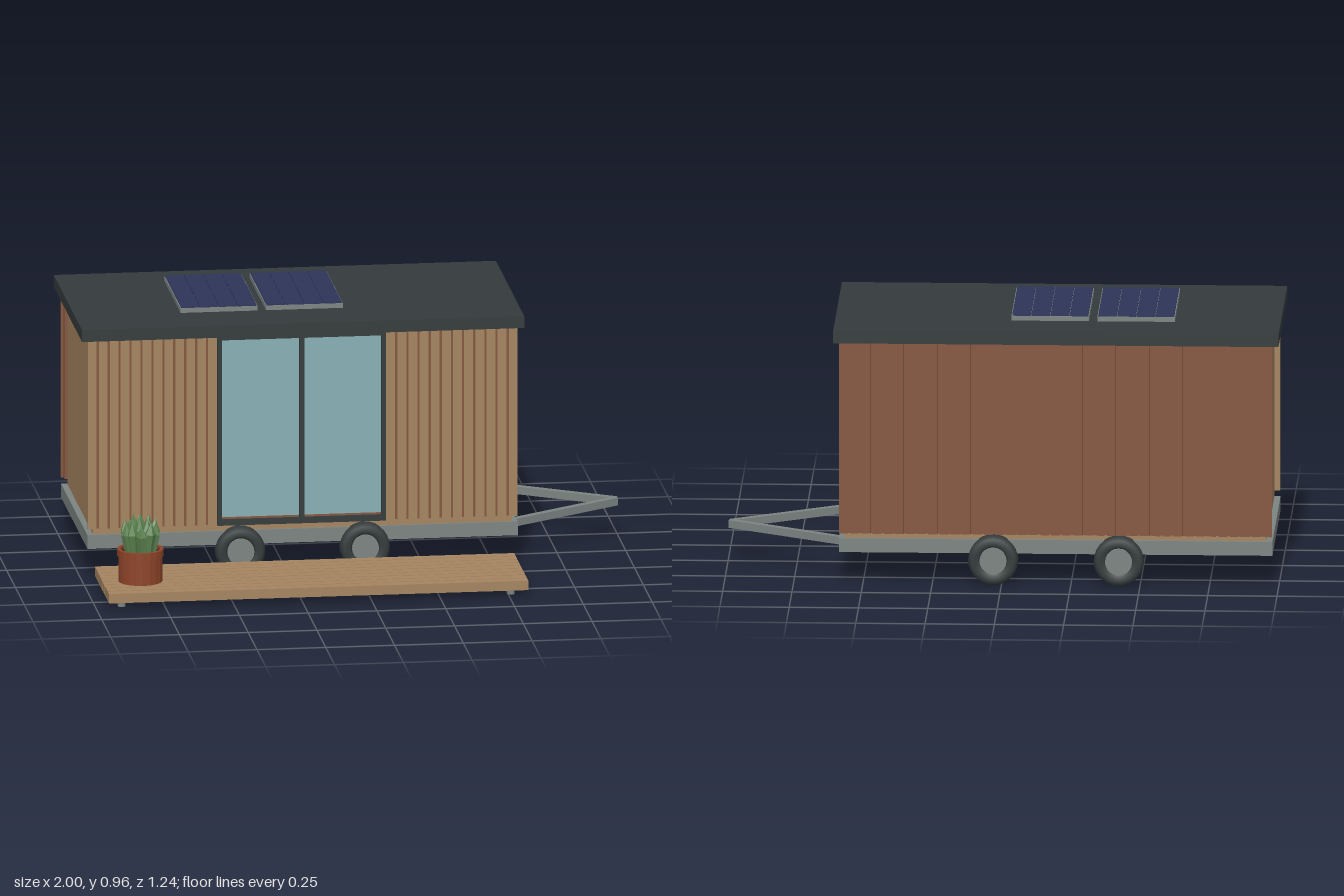
import * as THREE from 'three';

const material = (name, color) => {
  const m = new THREE.MeshStandardMaterial({ color });
  m.name = name;
  return m;
};

export function createModel() {
  const model = new THREE.Group();
  model.name = 'tinyHouseOnTrailer';
  const tan = material('tanWood', 0xa68460);
  const rust = material('redBrownWood', 0x85573f);
  const dark = material('darkSlate', 0x343b3c);
  const steel = material('greySteel', 0x7c8482);
  const glass = material('paleGlass', 0x88b0b4);
  const navy = material('navyCell', 0x2d3458);
  const clay = material('clayPot', 0x8e442a);
  const soil = material('soil', 0x3a2a20);
  const leafGreen = material('leafGreen', 0x5c8350);
  leafGreen.flatShading = true;

  const group = (name, parent = model) => {
    const g = new THREE.Group();
    g.name = name;
    parent.add(g);
    return g;
  };
  const add = (name, geometry, mat, parent = model) => {
    const mesh = new THREE.Mesh(geometry, mat);
    mesh.name = name;
    parent.add(mesh);
    return mesh;
  };
  // Box given by its limits on each axis
  const box = (name, mat, [x0, x1], [y0, y1], [z0, z1], parent) => {
    const mesh = add(name, new THREE.BoxGeometry(x1 - x0, y1 - y0, z1 - z0), mat, parent);
    mesh.position.set((x0 + x1) / 2, (y0 + y1) / 2, (z0 + z1) / 2);
    return mesh;
  };

  // Cabin shell and roof
  const cabin = group('cabin');
  box('walls', tan, [-0.955, 0.567], [0.163, 0.892], [-0.572, 0.153], cabin);
  box('roof', dark, [-1, 0.607], [0.89, 0.934], [-0.615, 0.19], cabin);
  box('frontBacking', rust, [-0.955, 0.567], [0.185, 0.89], [0.15, 0.157], cabin);
  box('backBacking', rust, [-0.967, 0.577], [0.185, 0.89], [-0.595, -0.57], cabin);

  // Vertical cladding boards
  const cladding = (name, mat, x0, x1, count, z) => {
    const g = group(name, cabin);
    const pitch = (x1 - x0 + 0.008) / count;
    for (let i = 0; i < count; i++) {
      const x = x0 + i * pitch;
      box('board', mat, [x, x + pitch - 0.008], [0.185, 0.89], z, g);
    }
  };
  cladding('frontBoardsRight', tan, -0.976, -0.507, 12, [0.153, 0.168]);
  cladding('frontBoardsLeft', tan, 0.108, 0.586, 12, [0.153, 0.168]);
  cladding('backBoards', rust, -0.976, 0.586, 39, [-0.606, -0.59]);

  // Double sliding door
  const door = group('slidingDoor', cabin);
  for (const x of [-0.505, 0.09]) box('doorPost', dark, [x, x + 0.016], [0.185, 0.89], [0.15, 0.173], door);
  box('doorMiddlePost', dark, [-0.208, -0.19], [0.185, 0.89], [0.15, 0.173], door);
  box('doorHead', dark, [-0.505, 0.106], [0.875, 0.89], [0.15, 0.173], door);
  box('doorSill', dark, [-0.505, 0.106], [0.185, 0.207], [0.15, 0.173], door);
  box('doorThreshold', rust, [-0.49, 0.09], [0.207, 0.214], [0.15, 0.163], door);
  for (const x of [-0.489, -0.19]) box('doorGlass', glass, [x, x + 0.281], [0.212, 0.876], [0.153, 0.161], door);

  // Solar panels: frame with a grid of cells
  for (const x of [-0.62, -0.31]) {
    const panel = group('solarPanel');
    box('panelFrame', steel, [x, x + 0.28], [0.942, 0.959], [-0.448, 0.018], panel);
    const px = 0.276 / 4, pz = 0.462 / 6;
    for (let i = 0; i < 4; i++) for (let j = 0; j < 6; j++) {
      const cx = x + 0.002 + i * px, cz = -0.446 + j * pz;
      box('solarCell', navy, [cx + 0.001, cx + px - 0.001], [0.958, 0.963], [cz + 0.001, cz + pz - 0.001], panel);
    }
  }

  // Trailer chassis and A-shaped tow bar
  const trailer = group('trailer');
  box('chassis', steel, [-0.977, 0.587], [0.112, 0.163], [-0.587, 0.163], trailer);
  for (const z of [-0.485, 0.058]) {
    const dx = 0.432, dz = -0.215 - z;
    const bar = add('towBar', new THREE.BoxGeometry(Math.hypot(dx, dz), 0.028, 0.026), steel, trailer);
    bar.position.set(0.56 + dx / 2, 0.13, z + dz / 2);
    bar.rotation.y = -Math.atan2(dz, dx);
  }

  // Wheels
  const tyreProfile = [[0.048, -0.02], [0.056, -0.027], [0.078, -0.027], [0.09, -0.019],
    [0.09, 0.019], [0.078, 0.027], [0.056, 0.027], [0.048, 0.02], [0.048, -0.02]]
    .map(([r, y]) => new THREE.Vector2(r, y));
  const tyre = new THREE.LatheGeometry(tyreProfile, 28);
  const hub = new THREE.CylinderGeometry(0.049, 0.049, 0.06, 20);
  for (const x of [-0.423, 0.03]) for (const z of [0.163, -0.588]) {
    const wheel = group('wheel', trailer);
    add('tyre', tyre, dark, wheel);
    add('hub', hub, steel, wheel);
    wheel.rotation.x = Math.PI / 2;
    wheel.position.set(x, 0.09, z);
  }

  // Plank deck on small feet
  const deck = group('deck');
  for (let i = 0; i < 9; i++) {
    const z = 0.216 + i * 0.0453;
    box('deckPlank', tan, [-0.957, 0.567], [0.025, 0.06], [z, z + 0.04], deck);
  }
  for (const x of [-0.905, 0.51]) for (const z of [0.257, 0.567]) {
    add('deckFoot', new THREE.CylinderGeometry(0.014, 0.014, 0.03, 10), steel, deck).position.set(x, 0.015, z);
  }

  // Potted succulent
  const plant = group('pottedPlant');
  plant.position.set(-0.82, 0.06, 0.438);
  const potProfile = [[0, 0], [0.08, 0], [0.08, 0.094], [0.084, 0.094], [0.084, 0.12], [0.072, 0.12], [0.072, 0.1]]
    .map(([r, y]) => new THREE.Vector2(r, y));
  const potGeometry = new THREE.LatheGeometry(potProfile, 20).toNonIndexed();
  potGeometry.computeVertexNormals();
  add('pot', potGeometry, clay, plant);
  add('soilTop', new THREE.CylinderGeometry(0.073, 0.073, 0.01, 20), soil, plant).position.y = 0.104;
  const leaf = new THREE.LatheGeometry([[0, 0], [0.012, 0], [0.021, 0.085], [0, 0.135]]
    .map(([r, y]) => new THREE.Vector2(r, y)), 5);
  for (const [count, radius, height, lean] of [[10, 0.046, 0.88, 0.1], [6, 0.025, 1, 0.05], [1, 0, 1.04, 0]]) {
    for (let i = 0; i < count; i++) {
      const pivot = group('leafPivot', plant);
      pivot.rotation.y = (i + radius * 10) / count * Math.PI * 2;
      const blade = add('leaf', leaf, leafGreen, pivot);
      blade.position.set(radius, 0.105, 0);
      blade.rotation.z = -lean;
      blade.scale.y = height * (i % 2 ? 0.95 : 1.04);
    }
  }
  return model;
}
